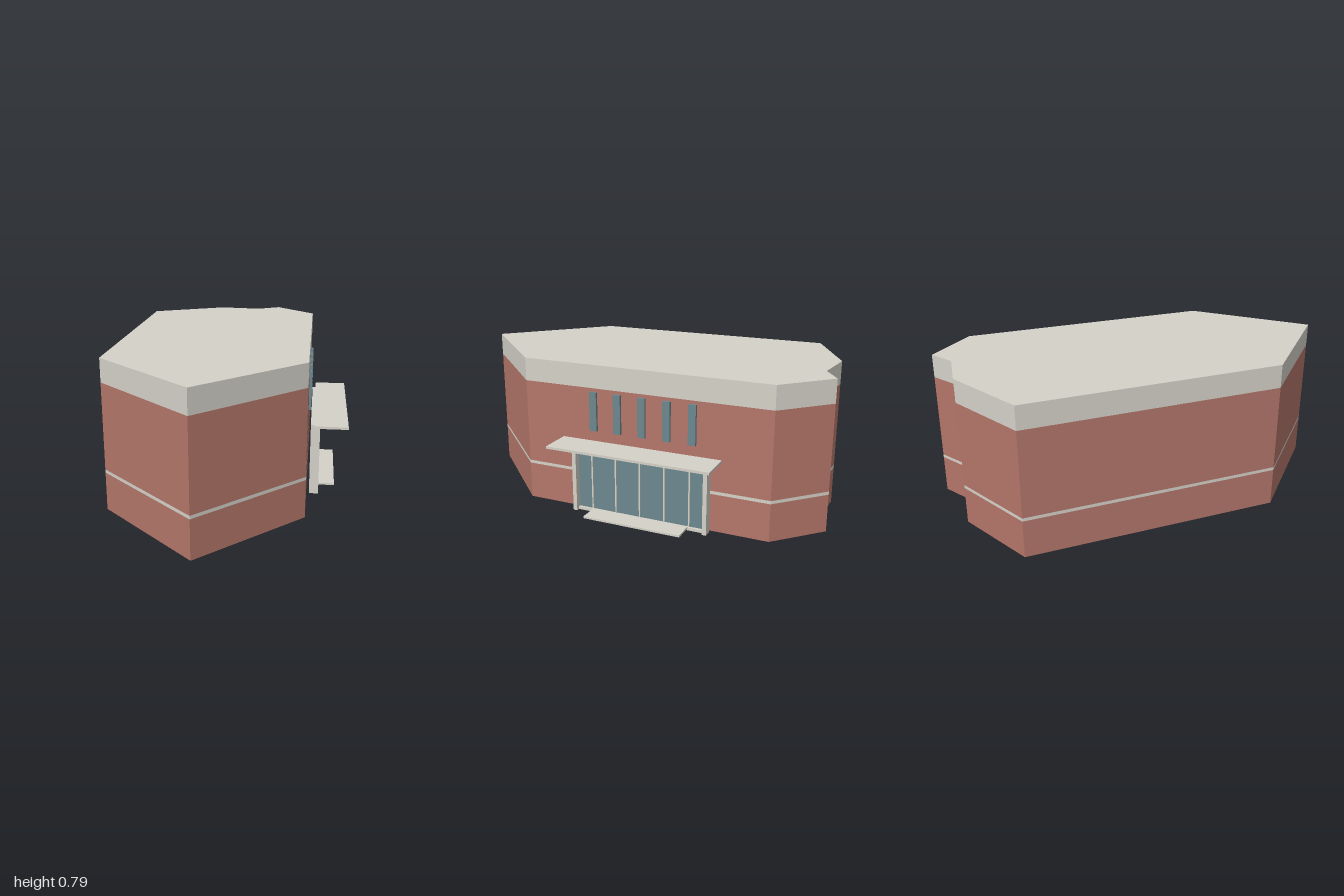
import * as THREE from 'three';

const paint = (color) => new THREE.MeshStandardMaterial({ color, flatShading: true });

export function createModel() {
  const model = new THREE.Group();
  const brick = paint(0xb4766a), stone = paint(0xd5d2c9), glass = paint(0x6c898f);

  // Building outline as [x, z]
  const outline = [[-0.38, -0.92], [0.07, -1], [0.3, -0.905], [0.445, -0.945],
    [0.605, -0.66], [0.23, 0.65], [-0.38, 0.995], [-0.74, 0.385]];
  const footprint = new THREE.Shape(outline.map(([x, z]) => new THREE.Vector2(x, -z)));

  // Stacked wall layers sharing one footprint
  const layer = (name, y0, y1, material) => {
    const geometry = new THREE.ExtrudeGeometry(footprint, { depth: y1 - y0, bevelEnabled: false });
    geometry.rotateX(-Math.PI / 2);
    const mesh = new THREE.Mesh(geometry, material);
    mesh.name = name;
    mesh.position.y = y0;
    model.add(mesh);
  };
  layer('lowerBrickWall', 0, 0.2, brick);
  layer('stoneBand', 0.2, 0.217, stone);
  layer('upperBrickWall', 0.217, 0.67, brick);
  layer('parapetAndRoof', 0.67, 0.793, stone);

  // Entrance facade frame: local x runs along the wall, local z points outward
  const facade = new THREE.Group();
  facade.name = 'entranceFacade';
  facade.position.set(0.4175, 0, -0.005);
  facade.rotation.y = Math.atan2(1.31, 0.375);
  model.add(facade);

  const box = (name, [x0, x1], [y0, y1], [z0, z1], material) => {
    const mesh = new THREE.Mesh(new THREE.BoxGeometry(x1 - x0, y1 - y0, z1 - z0), material);
    mesh.name = name;
    mesh.position.set((x0 + x1) / 2, (y0 + y1) / 2, (z0 + z1) / 2);
    facade.add(mesh);
  };

  // Upper slit windows and the door mullions share one spacing
  for (let i = -2; i <= 2; i++) {
    const x = i * 0.137;
    box('slitWindow', [x - 0.02, x + 0.02], [0.443, 0.652], [-0.005, 0.014], glass);
    box('mullion', [x - 0.004, x + 0.004], [0.015, 0.374], [0.02, 0.036], stone);
  }

  // Glazed entrance with its surround
  box('entranceGlass', [-0.357, 0.357], [0.015, 0.374], [0.02, 0.03], glass);
  for (const side of [-1, 1]) {
    const x = side * 0.367;
    box('entrancePost', [x - 0.011, x + 0.011], [0, 0.386], [0.015, 0.064], stone);
  }
  box('entranceHeader', [-0.357, 0.357], [0.374, 0.386], [0.015, 0.064], stone);
  box('entranceSill', [-0.357, 0.357], [0, 0.015], [0.015, 0.045], stone);

  // Canopy and doorstep
  box('canopy', [-0.44, 0.44], [0.386, 0.399], [0.033, 0.209], stone);
  box('doorstep', [-0.27, 0.27], [0.007, 0.017], [0.04, 0.15], stone);

  return model;
}
